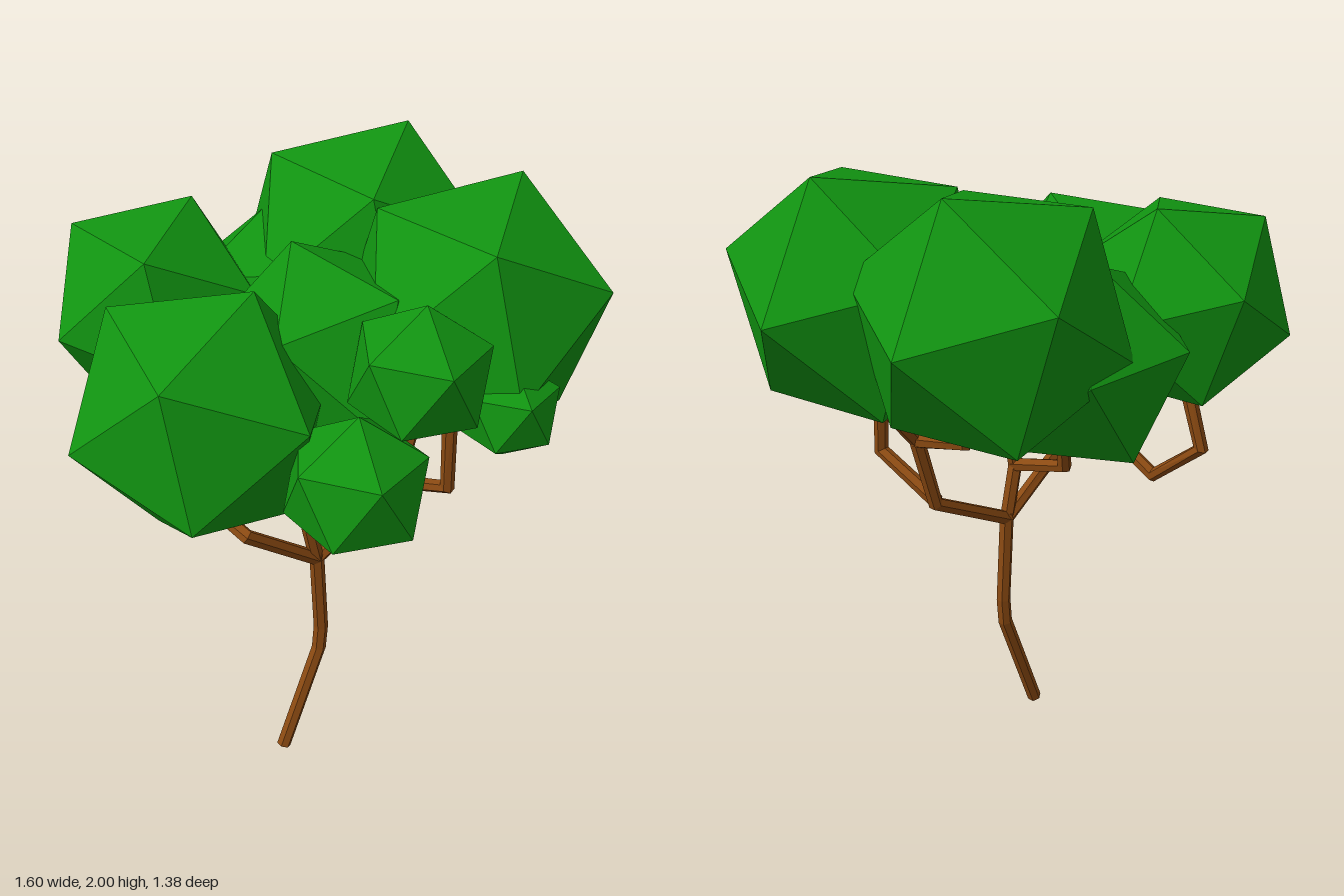
import * as THREE from 'three';

const leafGreen = new THREE.MeshStandardMaterial({ name: 'leafGreen', color: 0x119411, flatShading: true });
const barkBrown = new THREE.MeshStandardMaterial({ name: 'barkBrown', color: 0x8b4a12, flatShading: true });

const v = (p) => new THREE.Vector3(...p);

// Faceted leaf clump: an icosahedron turned so two neighbouring corners lie at a and b
function leafClump(name, center, a, b) {
  const c = v(center);
  const da = v(a).sub(c);
  const db = v(b).sub(c);
  const r = (da.length() + db.length()) / 2;
  da.normalize();
  db.normalize();
  const x = db.clone().sub(da).normalize();
  const y = da.clone().add(db).normalize();
  const z = new THREE.Vector3().crossVectors(x, y);
  const mesh = new THREE.Mesh(new THREE.IcosahedronGeometry(r, 0), leafGreen);
  mesh.quaternion.setFromRotationMatrix(new THREE.Matrix4().makeBasis(x, y, z));
  mesh.position.copy(c);
  mesh.name = name;
  return mesh;
}

// Six-sided limb with mitred bends along a list of points
function limb(name, points, radius = 0.024, sides = 6) {
  const pts = points.map(v);
  const n = pts.length;
  const pos = [];
  const idx = [];
  let side = new THREE.Vector3(0, 0, 1);
  pts.forEach((p, i) => {
    const before = pts[Math.max(i, 1)].clone().sub(pts[Math.max(i, 1) - 1]).normalize();
    const k = Math.min(i, n - 2);
    const after = pts[k + 1].clone().sub(pts[k]).normalize();
    const t = before.add(after).normalize();
    side = side.clone().addScaledVector(t, -side.dot(t));
    if (side.length() < 0.2) side.set(1, 0, 0).addScaledVector(t, -t.x);
    side.normalize();
    const up = new THREE.Vector3().crossVectors(t, side);
    for (let s = 0; s < sides; s++) {
      const ang = (s / sides) * Math.PI * 2;
      const q = p.clone().addScaledVector(side, radius * Math.cos(ang)).addScaledVector(up, radius * Math.sin(ang));
      pos.push(q.x, q.y, q.z);
    }
  });
  for (let i = 0; i < n - 1; i++) {
    for (let s = 0; s < sides; s++) {
      const a = i * sides + s;
      const b = i * sides + ((s + 1) % sides);
      idx.push(a, b, b + sides, a, b + sides, a + sides);
    }
  }
  // end caps
  const last = (n - 1) * sides;
  for (let s = 1; s < sides - 1; s++) {
    idx.push(0, s + 1, s, last, last + s, last + s + 1);
  }
  const geo = new THREE.BufferGeometry();
  geo.setAttribute('position', new THREE.Float32BufferAttribute(pos, 3));
  geo.setIndex(idx);
  const flat = geo.toNonIndexed();
  flat.computeVertexNormals();
  const mesh = new THREE.Mesh(flat, barkBrown);
  mesh.name = name;
  return mesh;
}

export function createModel() {
  const tree = new THREE.Group();
  tree.name = 'tree';

  // Trunk and branches
  const wood = new THREE.Group();
  wood.name = 'trunkAndBranches';
  const fork = [-0.05, 0.78, 0.087];
  const limbs = {
    trunk: [[-0.19, 0.01, 0.087], [-0.04, 0.39, 0.087], [-0.032, 0.48, 0.087], [-0.05, 0.8, 0.087]],
    rearBranch: [fork, [-0.3, 0.97, 0.07], [-0.345, 1.03, -0.14], [-0.345, 0.955, -0.285],
      [-0.345, 1.1, -0.465], [-0.34, 1.3, -0.4]],
    middleBranch: [fork, [-0.09, 0.96, 0.087], [-0.06, 1.12, 0.09], [-0.05, 1.1, 0.28],
      [-0.02, 1.23, 0.4], [0.01, 1.4, 0.39]],
    middleTwig: [[-0.09, 0.96, 0.087], [-0.075, 1.03, -0.14], [-0.02, 1.24, -0.17]],
    middleStub: [[-0.06, 1.1, 0.09], [-0.05, 1.24, 0.08]],
    sideBranch: [fork, [0.27, 0.945, 0.087], [0.34, 1.18, 0.087], [0.49, 1.36, 0.087]],
    frontTwig: [[0.265, 0.95, 0.087], [0.28, 1.06, 0.32], [0.28, 1.35, 0.31]],
    upperTwig: [[0.34, 1.18, 0.087], [0.345, 1.23, -0.12], [0.345, 1.36, -0.12]],
  };
  for (const [name, path] of Object.entries(limbs)) wood.add(limb(name, path));
  tree.add(wood);

  // Leaf clumps: centre and two neighbouring corners each
  const crown = new THREE.Group();
  crown.name = 'crown';
  const clumps = {
    frontLargeClump: [[0.389, 1.621, 0.251], [0.58, 1.985, 0.22], [0.8, 1.62, 0.19]],
    backLargeClump: [[0.353, 1.632, -0.234], [0.54, 1.997, -0.25], [0.76, 1.637, -0.29]],
    sideLargeClump: [[-0.41, 1.45, 0.04], [-0.805, 1.41, -0.04], [-0.545, 1.085, -0.03]],
    backSideClump: [[-0.311, 1.573, -0.382], [-0.15, 1.875, -0.4], [-0.48, 1.82, -0.55]],
    backLowClump: [[0.06, 1.455, -0.305], [0.01, 1.14, -0.2], [0.08, 1.21, -0.53]],
    centreClump: [[0, 1.51, 0.06], [-0.04, 1.84, -0.05], [-0.27, 1.68, 0.2]],
    frontMiddleClump: [[0.03, 1.62, 0.45], [0.045, 1.83, 0.43], [-0.02, 1.68, 0.65]],
    frontSmallClump: [[-0.225, 1.39, 0.505], [-0.215, 1.605, 0.5], [-0.28, 1.485, 0.69]],
    frontTinyClump: [[0.29, 1.46, 0.535], [0.296, 1.615, 0.53], [0.25, 1.53, 0.67]],
  };
  for (const [name, spec] of Object.entries(clumps)) crown.add(leafClump(name, ...spec));
  tree.add(crown);

  return tree;
}
